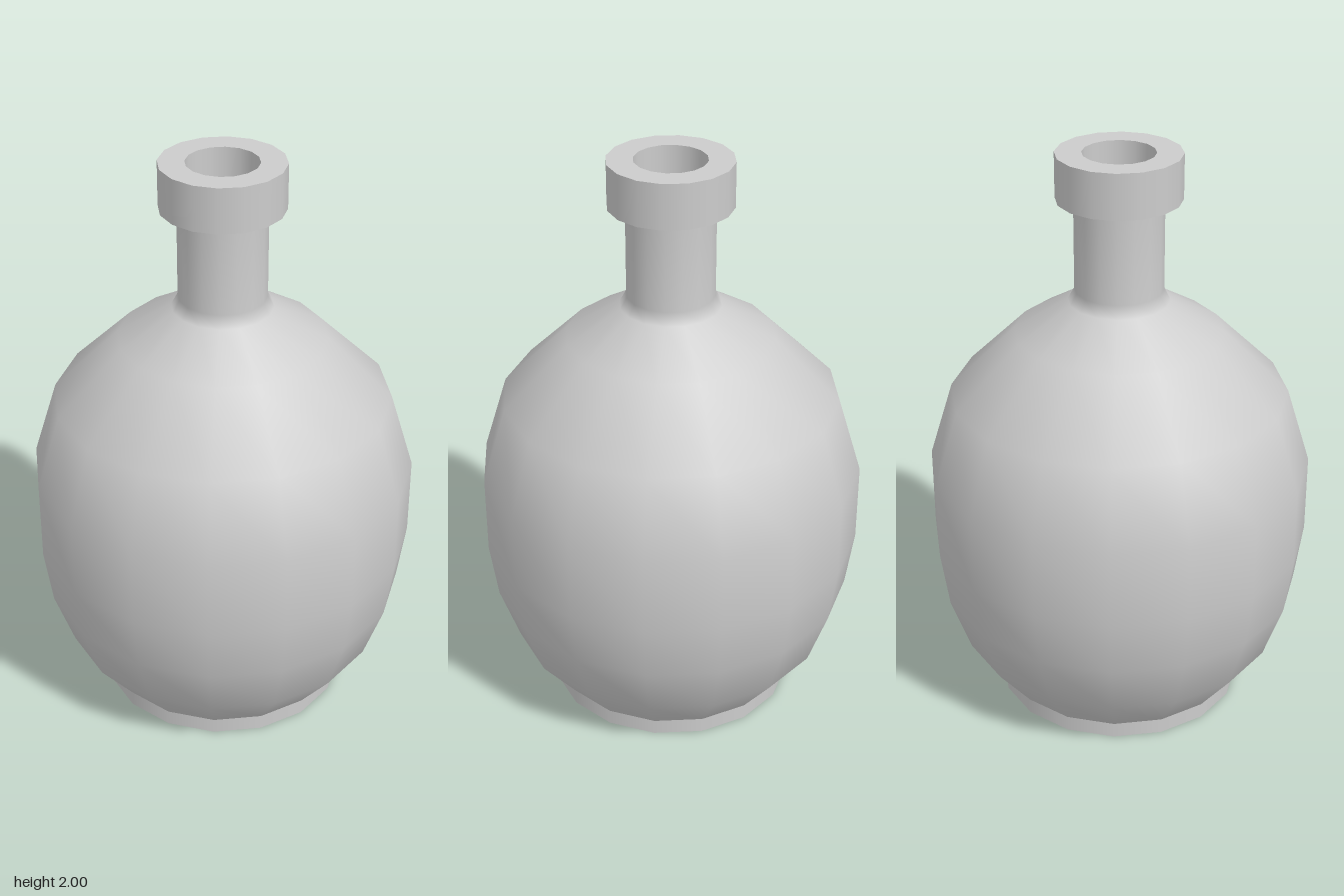
import * as THREE from 'three';

const SIDES = 16;

export function createModel() {
  const group = new THREE.Group();
  group.name = 'bottle';
  const grey = new THREE.MeshStandardMaterial({ color: 0xcccccc });
  grey.name = 'plain grey';

  // Each ring of the bottle is a separate lathe, so edges between rings stay sharp
  const turn = (name, ...profile) => {
    const points = profile.map(([r, y]) => new THREE.Vector2(r, y));
    const mesh = new THREE.Mesh(new THREE.LatheGeometry(points, SIDES), grey);
    mesh.name = name;
    group.add(mesh);
  };

  // Underside: foot ring around a shallow recess with a small central dimple
  turn('dimpleFloor', [0, 0.055], [0.05, 0.055]);
  turn('dimpleWall', [0.05, 0.055], [0.085, 0.04]);
  turn('recessFloor', [0.085, 0.04], [0.325, 0.04]);
  turn('recessWall', [0.325, 0.04], [0.325, 0]);
  turn('footUnderside', [0.325, 0], [0.433, 0]);
  turn('footSide', [0.433, 0], [0.433, 0.055]);

  // Rounded body flowing into the neck
  turn('bodyAndNeck',
    [0.433, 0.055], [0.563, 0.22], [0.632, 0.42], [0.66, 0.62], [0.66, 0.895],
    [0.578, 1.16], [0.355, 1.38], [0.172, 1.49], [0.15, 1.53], [0.15, 1.845]);

  // Collar and mouth
  turn('collarUnderside', [0.15, 1.845], [0.21, 1.845]);
  turn('collarSide', [0.21, 1.845], [0.21, 2]);
  turn('collarTop', [0.21, 2], [0.122, 2]);
  turn('mouthBore', [0.122, 2], [0.122, 1.45]);
  turn('boreFloor', [0.122, 1.45], [0, 1.45]);

  return group;
}
